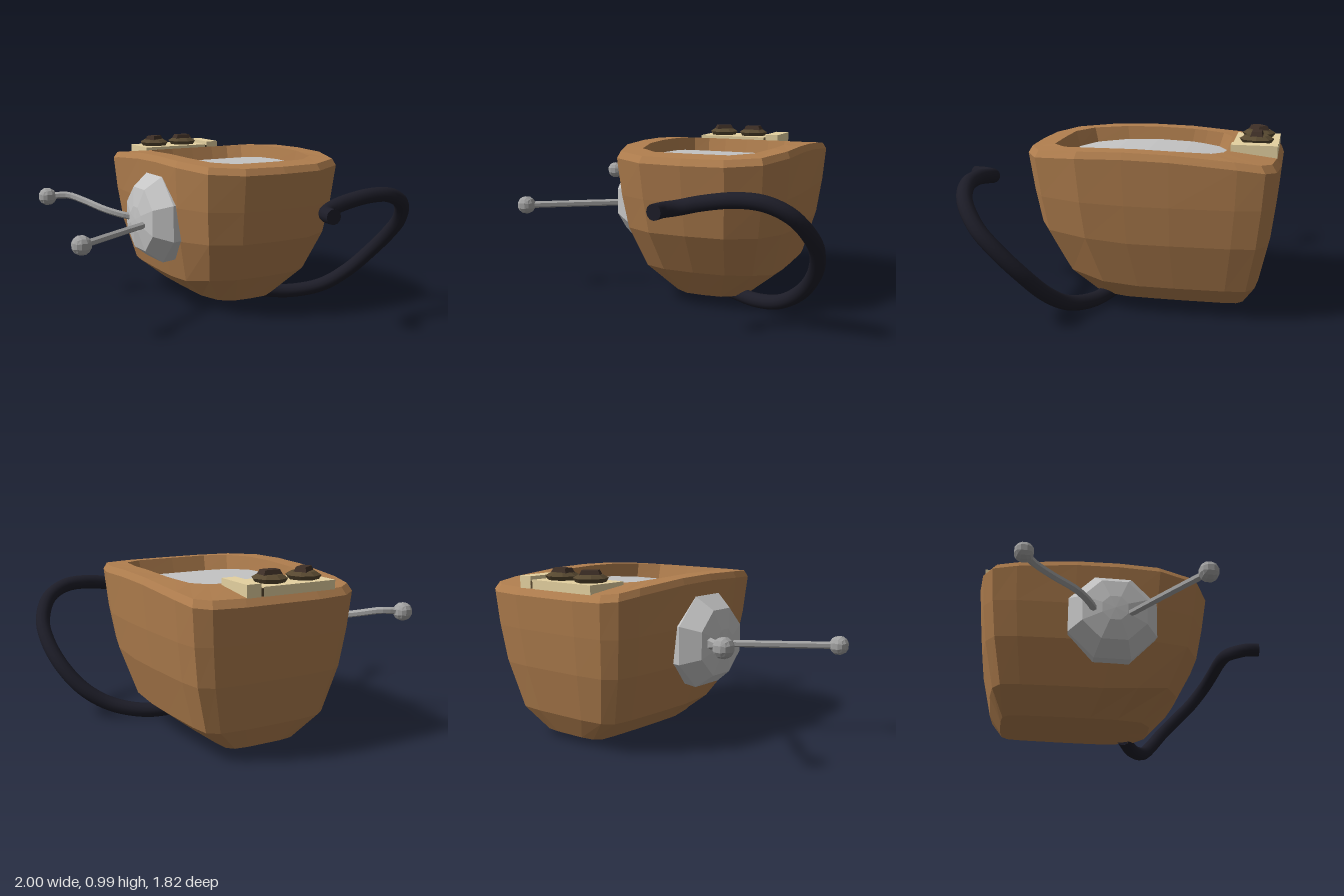
import * as THREE from 'three';

const mat = (name, color, opts = {}) =>
  Object.assign(new THREE.MeshStandardMaterial({ color, ...opts }), { name });

const CX = 0.185; // body centre line

// Half outlines (offset from centre line, z), front to back
const OUTER = [[0, .5], [.25, .487], [.437, .39], [.515, .15], [.52, -.1], [.518, -.35],
  [.503, -.7], [.48, -.84], [.4, -.895], [.22, -.912], [0, -.912]];
const OPENING = [[0, .345], [.225, .34], [.34, .25], [.386, .05], [.39, -.15], [.386, -.37],
  [.372, -.45], [.343, -.55], [.262, -.607], [.15, -.622], [0, -.625]];

// Heights of the gently arched rim and of the domed floor in the opening
const rimY = (z) => 0.936 - 0.092 * (z + 0.1) ** 2;
const floorY = (z) => 0.86 - 0.16 * (z + 0.14) ** 2;
// Levels that sweep up towards the front
const sweep = (y, rise) => (z) => y + rise * THREE.MathUtils.smoothstep(z, -.1, .3);

// Mirrored closed ring; sx scales width, zf/zb set the front and back ends
function ring(half, yOf, sx = 1, zf = half[0][1], zb = half[half.length - 1][1]) {
  const z0 = half[0][1], z1 = half[half.length - 1][1];
  const right = half.map(([d, z]) => {
    const zz = zf + (z - z0) / (z1 - z0) * (zb - zf);
    return [CX + d * sx, yOf(zz), zz];
  });
  const left = right.slice(1, -1).reverse().map(([x, y, z]) => [2 * CX - x, y, z]);
  return [...right, ...left];
}

function toGeometry(points, index) {
  const g = new THREE.BufferGeometry();
  g.setAttribute('position', new THREE.Float32BufferAttribute(points.flat(), 3));
  g.setIndex(index);
  g.computeVertexNormals();
  return g;
}

// Skin through rings, closed at the first ring
function loft(rings) {
  const n = rings[0].length, index = [];
  for (let r = 0; r < rings.length - 1; r++) {
    for (let i = 0; i < n; i++) {
      const j = (i + 1) % n, a = r * n + i, b = r * n + j;
      index.push(a, b, b + n, a, b + n, a + n);
    }
  }
  for (let i = 1; i < n - 1; i++) index.push(0, i + 1, i);
  return toGeometry(rings.flat(), index);
}

// Ball made from a divided cube
function cubeBall(radius) {
  const g = new THREE.BoxGeometry(1, 1, 1, 3, 3, 3), p = g.attributes.position;
  const v = new THREE.Vector3();
  for (let i = 0; i < p.count; i++) {
    v.fromBufferAttribute(p, i).setLength(radius);
    p.setXYZ(i, v.x, v.y, v.z);
  }
  g.computeVertexNormals();
  return g;
}

export function createModel() {
  const wood = mat('brown casing', 0xb07e4e, { flatShading: true });
  const basin = mat('light grey metal', 0xc4c4c4, { flatShading: true });
  const steel = mat('grey steel', 0xa2a2a2, { flatShading: true });
  const rubber = mat('black rubber', 0x1d1d28);
  const cream = mat('cream panel', 0xe4d1a0, { flatShading: true });
  const knobBase = mat('dark olive brown', 0x574830, { flatShading: true });
  const knobTop = mat('dark brown', 0x3f3027, { flatShading: true });

  const model = new THREE.Group();
  const add = (name, geo, material, pos = [0, 0, 0], parent = model) => {
    const m = new THREE.Mesh(geo, material);
    m.name = name;
    m.position.set(...pos);
    parent.add(m);
    return m;
  };

  // Tapered casing: floor up to rim, over the lip and down into the opening
  const levels = [[.025, 0, .22, .03, -.62], [.045, .01, .44, .15, -.74],
    [.172, .055, .755, .305, -.81], [.435, .03, .905, .43, -.868], [.65, .01, .965, .468, -.895]];
  const basinEdge = ring(OPENING, floorY, .975, .318, -.597);
  add('body', loft([
    ...levels.map(([y, rise, sx, zf, zb]) => ring(OUTER, sweep(y, rise), sx, zf, zb)),
    ring(OUTER, (z) => rimY(z) - .036),
    ring(OUTER, rimY, .965, .478, -.885),
    ring(OPENING, rimY),
    basinEdge,
  ]), wood);

  // Slightly domed floor inside the opening, made of cross strips
  const n = basinEdge.length, strips = [];
  for (let i = 0; i < OPENING.length - 1; i++) {
    const l = (n - i) % n, l2 = (n - i - 1) % n;
    if (l2 !== i + 1) strips.push(i, i + 1, l2);
    if (l !== i) strips.push(l2, l, i);
  }
  add('basinFloor', toGeometry(basinEdge, strips), basin);

  // Control panel with a raised strip beside a narrow gap
  add('controlPanel', new THREE.BoxGeometry(.437, .05, .25), cream, [.0735, .902, -.762]);
  add('panelGap', new THREE.BoxGeometry(.014, .04, .248), knobBase, [.299, .9, -.762]);
  add('panelStrip', new THREE.BoxGeometry(.084, .068, .25), cream, [.348, .911, -.762]);

  // Two octagonal knobs with tapered grips
  [[-.03, .6], [.18, 0]].forEach(([x, turn], i) => {
    const knob = new THREE.Group();
    knob.name = 'knob' + (i + 1);
    knob.position.set(x, .925, -.765);
    add('skirt', new THREE.CylinderGeometry(.096, .08, .024, 8), knobBase, [0, .012, 0], knob);
    add('cap', new THREE.CylinderGeometry(.066, .096, .018, 8), knobBase, [0, .033, 0], knob);
    const grip = new THREE.CylinderGeometry(.062, .09, .04, 4).rotateY(Math.PI / 4).scale(1, 1, .62);
    add('grip', grip, knobTop, [0, .046, 0], knob).rotation.y = turn;
    model.add(knob);
  });

  // Faceted dome on the right side
  const dome = new THREE.LatheGeometry(
    [[.27, 0], [.28, .1], [.2, .2], [.08, .225], [0, .228]].map((p) => new THREE.Vector2(...p)), 8);
  dome.rotateY(Math.PI / 8).rotateZ(Math.PI / 2);
  add('sideDome', dome, basin, [-.23, .562, -.135]);

  // Rods ending in faceted balls
  const rods = {
    straightRod: [[-.42, .54, -.06], [-.68, .54, .105], [-.95, .54, .282]],
    curvedRod: [[-.4, .55, -.24], [-.47, .565, -.275], [-.56, .595, -.36], [-.64, .635, -.51],
      [-.71, .66, -.61], [-.82, .652, -.665]],
  };
  const ball = cubeBall(.056);
  for (const [name, pts] of Object.entries(rods)) {
    const curve = new THREE.CatmullRomCurve3(pts.map((p) => new THREE.Vector3(...p)));
    add(name, new THREE.TubeGeometry(curve, 16, .021, 6), steel);
    add(name + 'Ball', ball, steel, pts[pts.length - 1]);
  }

  // Cable looping from under the casing round to the front
  const path = new THREE.CatmullRomCurve3([[.22, .685, .905], [.23, .685, .83], [.29, .69, .765],
    [.4, .715, .737], [.6, .745, .737], [.75, .735, .732], [.87, .675, .695], [.945, .56, .605],
    [.957, .46, .51], [.918, .32, .385], [.82, .18, .28], [.68, .085, .2], [.5, .045, .1],
    [.32, .058, .02]].map((p) => new THREE.Vector3(...p)));
  add('cable', new THREE.TubeGeometry(path, 70, .043, 12), rubber);
  const cap = new THREE.CircleGeometry(.043, 12);
  [0, 1].forEach((t) => {
    const end = path.getPointAt(t), dir = path.getTangentAt(t).multiplyScalar(t ? 1 : -1);
    add(t ? 'cableInnerEnd' : 'cableOuterEnd', cap, rubber, end.toArray())
      .lookAt(end.clone().add(dir));
  });

  return model;
}
